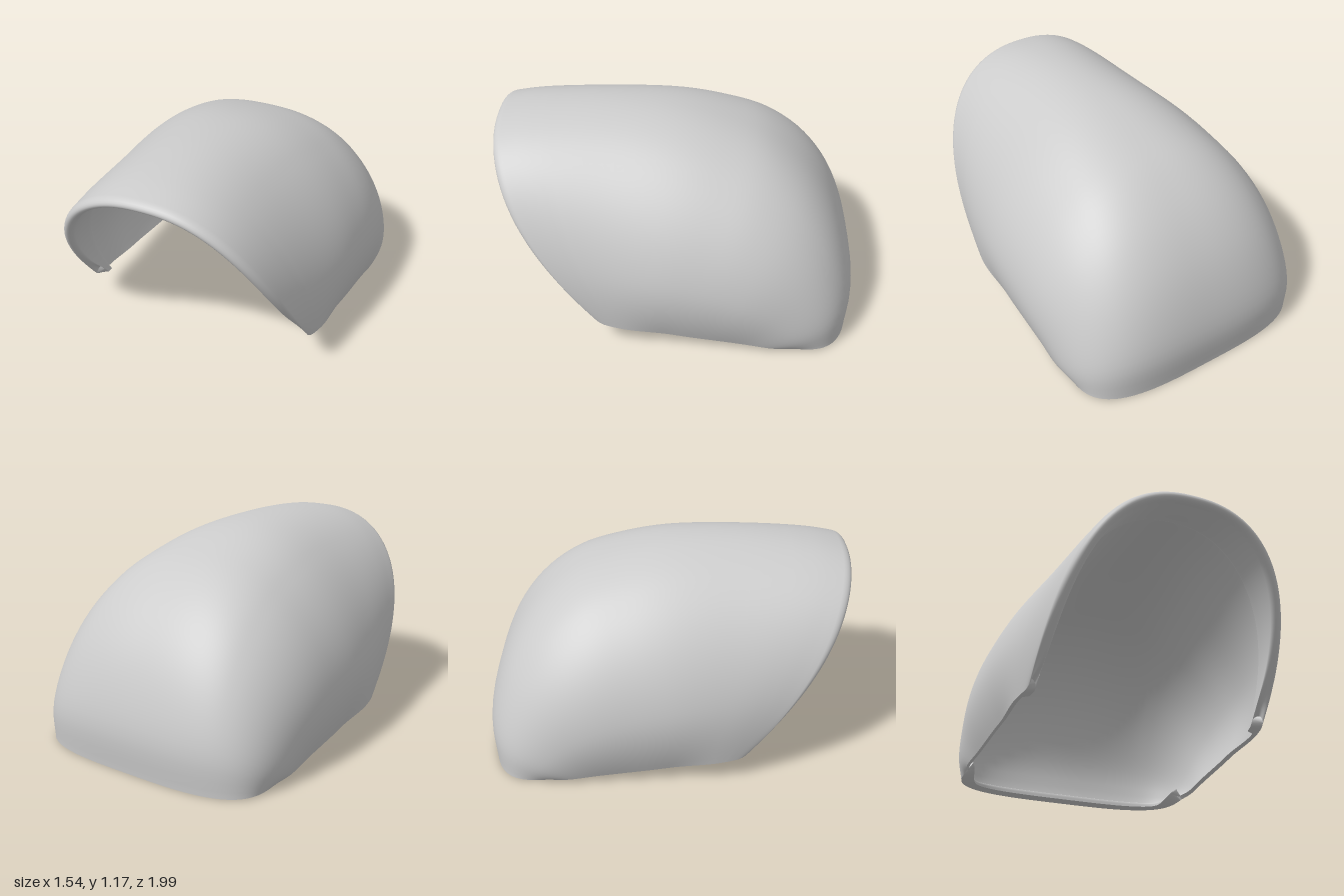
import * as THREE from 'three';
import { mergeVertices } from 'three/addons/utils/BufferGeometryUtils.js';

const V = (x, y, z) => new THREE.Vector3(x, y, z);
const curve = pts => new THREE.CatmullRomCurve3(pts.map(([z, y]) => V(0, y, z)));
const { lerp, clamp, smoothstep } = THREE.MathUtils;

// Ridge line along the middle, from the front lip over the top to the back bottom edge
const ridge = curve([[1, 1.1], [0.8, 1.14], [0.4, 1.17], [0, 1.15], [-0.3, 1.08], [-0.5, 1.0],
  [-0.7, 0.85], [-0.85, 0.66], [-0.95, 0.44], [-0.998, 0.22], [-0.98, 0]]);
// Half width and roundness of the sections along the shell
const widths = curve([[0, 0.665], [0.2, 0.725], [0.45, 0.75], [0.75, 0.745], [0.9, 0.735], [1, 0.7]]);
const powers = curve([[0, 2.35], [0.22, 2.08], [0.45, 2.35], [0.68, 2.85], [1, 3.3]]);

function valueAt(c, t) {
  let lo = 0, hi = 1;
  for (let i = 0; i < 24; i++) {
    const m = (lo + hi) / 2;
    if (c.getPoint(m).z < t) lo = m; else hi = m;
  }
  return c.getPoint(lo).y;
}

// Each section is a superelliptic arch that tilts from the front opening to the flat back edge
function section(t) {
  const top = ridge.getPointAt(t), w = valueAt(widths, t), n = valueAt(powers, t);
  const corner = Math.max(0, 1 - t / 0.06) ** 2;
  const baseZ = lerp(0.44, -0.65, t), baseY = lerp(0.135, 0.015, t) + 0.03 * corner;
  const pinch = 0.07 * (1 - t ** 4) * smoothstep(t, 0, 0.4);
  const bulge = 0.05 * smoothstep(t, 0, 0.4) * (1 - smoothstep(t, 0.6, 1));
  return a => {
    const c = Math.cos(a), k = Math.max(0, Math.sin(a));
    const r = (Math.abs(c) ** n + k ** n) ** (-1 / n);
    const s = k * r;
    const swell = bulge * Math.sin(Math.PI * Math.min(1, s / 0.85));
    const x = c * r * w * (1 + swell - pinch * Math.max(0, 1 - s / 0.35) ** 2);
    const bow = 0.3 * s * (1 - s) * (1 - t) ** 3;
    return V(x, lerp(baseY, top.y, s), lerp(baseZ, top.z, s) + bow);
  };
}

// Thin wall with a thicker band behind the front lip and a flange along the back edge
const thickness = t => 0.025 + 0.035 * (1 - smoothstep(t, 0.1, 0.12)) + 0.05 * smoothstep(t, 0.984, 0.99);

function meshFrom(name, positions, index, material) {
  let g = new THREE.BufferGeometry();
  g.setAttribute('position', new THREE.Float32BufferAttribute(positions, 3));
  g.setIndex(index);
  g = mergeVertices(g, 1e-5);
  g.computeVertexNormals();
  const mesh = new THREE.Mesh(g, material);
  mesh.name = name;
  return mesh;
}

// Surface through rows of points, one quad between neighbours
function sheet(name, rows, material) {
  const pos = rows.flat().flatMap(p => p.toArray()), idx = [], m = rows[0].length;
  for (let j = 0; j < rows.length - 1; j++) {
    for (let i = 0; i < m - 1; i++) {
      const a = j * m + i, b = a + m;
      idx.push(a, b, b + 1, a, b + 1, a + 1);
    }
  }
  return meshFrom(name, pos, idx, material);
}

export function createModel() {
  const group = new THREE.Group();
  group.name = 'hoodShell';
  const material = new THREE.MeshStandardMaterial({ color: 0xcccccc, side: THREE.DoubleSide });

  // Stations along the shell, closely spaced at the lip, the band's end and the flange
  const R = 0.018, ts = [];
  for (let k = 0; k < 6; k++) ts.push(R * (1 - Math.cos(k * Math.PI / 12)));
  for (let k = 0; k < 5; k++) ts.push(lerp(R, 0.1, k / 5));
  for (let k = 0; k < 4; k++) ts.push(lerp(0.1, 0.12, k / 4));
  for (let k = 0; k < 40; k++) ts.push(lerp(0.12, 0.984, k / 40));
  for (let k = 0; k < 4; k++) ts.push(lerp(0.984, 0.99, k / 4));
  ts.push(0.99, 0.995, 1);

  // Outer and inner skin points, meeting in the middle of the rounded front lip
  const N = 80, E = 0.002;
  const outer = [], inner = [];
  for (const t of ts) {
    const here = section(t), before = section(clamp(t - E, 0, 1)), after = section(clamp(t + E, 0, 1));
    const thick = thickness(t);
    const q = Math.max(0, 1 - t / R);
    const h = thick / 2 * (1 - Math.sqrt(1 - q * q));
    const o = [], n = [];
    for (let i = 0; i <= N; i++) {
      const a = Math.PI * i / N;
      const a0 = Math.max(0, a - E), a1 = Math.min(Math.PI, a + E);
      const p = here(a);
      const normal = after(a).sub(before(a)).cross(here(a1).sub(here(a0))).normalize();
      o.push(p.clone().addScaledVector(normal, -h));
      n.push(p.clone().addScaledVector(normal, h - thick));
    }
    outer.push(o);
    inner.push(n);
  }

  // Shell: forward along the inner skin, around the lip and back along the outer skin
  group.add(sheet('shell', [...inner.slice().reverse(), ...outer.slice(1)], material));

  // Flat undersides of the back wall and the two side walls
  const last = ts.length - 1;
  group.add(sheet('backBottomEdge', [outer[last], inner[last]], material));
  const side = (skin, i) => skin.map(row => row[i]);
  group.add(sheet('leftBottomEdge', [side(outer, 0), side(inner, 0)], material));
  group.add(sheet('rightBottomEdge', [side(inner, N), side(outer, N)], material));
  return group;
}
